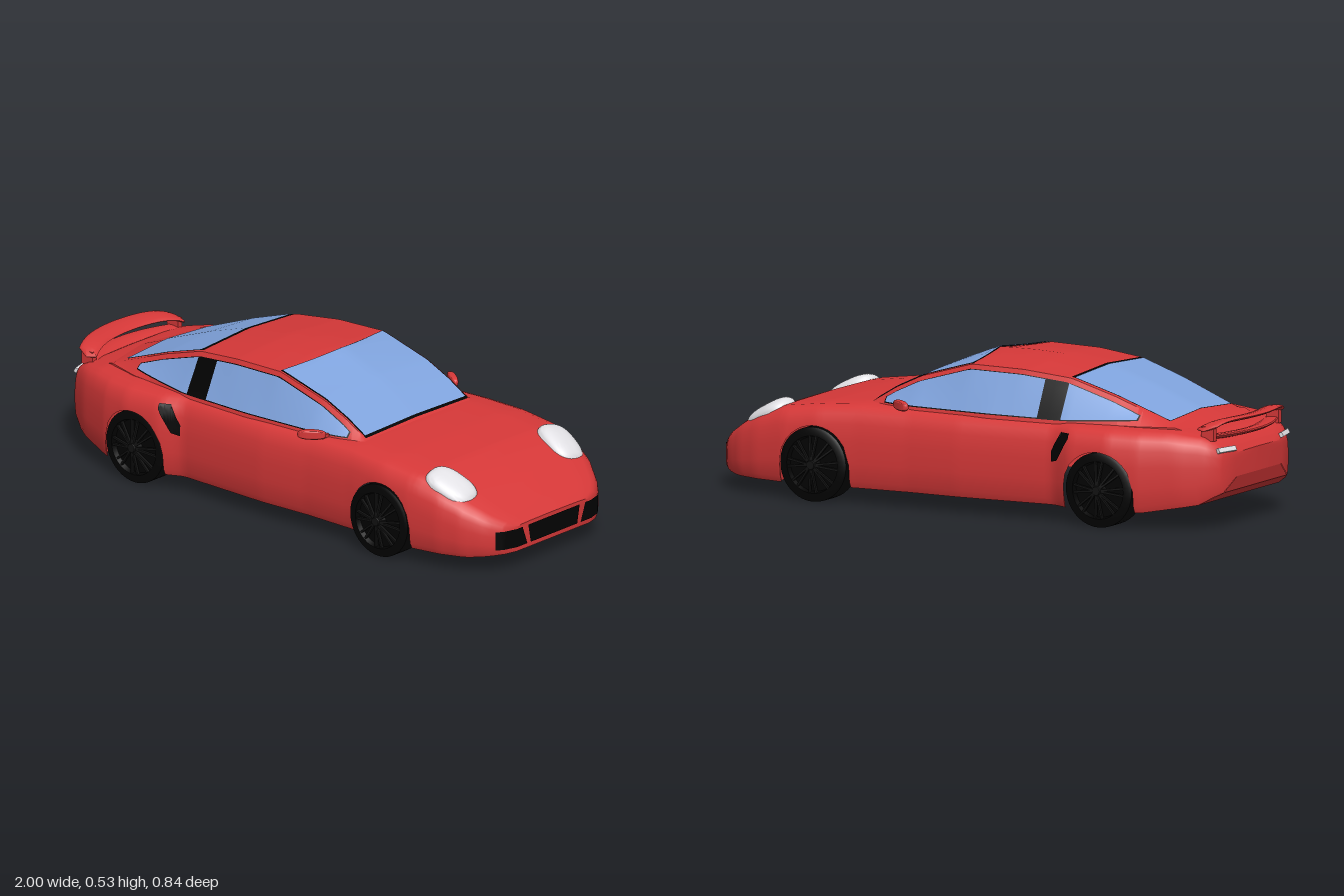
import * as THREE from 'three';
import { toCreasedNormals } from 'three/addons/utils/BufferGeometryUtils.js';

const paint = (name, color) => new THREE.MeshStandardMaterial({ name, color, side: THREE.DoubleSide });
const red = paint('red paint', 0xd63838);
const glass = paint('blue glass', 0x80a4de);
const black = paint('black trim', 0x020202);
const rim = paint('dark rim', 0x121212);
const lens = paint('pale lens', 0xe2e1e5);

// Linear interpolation in a table of [position, value]
function at(table, x) {
  if (x <= table[0][0]) return table[0][1];
  for (let i = 1; i < table.length; i++) {
    const [x0, a] = table[i - 1], [x1, b] = table[i];
    if (x <= x1) return a + (b - a) * (x - x0) / (x1 - x0);
  }
  return table[table.length - 1][1];
}
const lerp = THREE.MathUtils.lerp;
const range = (a, b, n) => Array.from({ length: n + 1 }, (_, i) => lerp(a, b, i / n));

// Body tables along the length of the car
const halfWidth = [[-0.98, 0.16], [-0.965, 0.23], [-0.94, 0.265], [-0.85, 0.325], [-0.7, 0.385], [-0.6, 0.407],
  [-0.45, 0.404], [-0.37, 0.367], [-0.2, 0.375], [0, 0.385], [0.2, 0.38], [0.4, 0.388], [0.55, 0.402],
  [0.68, 0.4], [0.8, 0.38], [0.88, 0.35], [0.95, 0.3], [0.985, 0.25], [1, 0.2]];
const topLine = [[-0.98, 0.265], [-0.95, 0.3], [-0.9, 0.325], [-0.8, 0.343], [-0.6, 0.35], [0.4, 0.352],
  [0.55, 0.342], [0.7, 0.322], [0.78, 0.295], [0.86, 0.257], [0.93, 0.212], [0.97, 0.185], [1, 0.16]];
const bottomLine = [[-0.98, 0.18], [-0.965, 0.13], [-0.9, 0.09], [-0.72, 0.06], [0.9, 0.055], [1, 0.065]];
// Cross-section: height fraction, width fraction
const section = [[0, 0.96], [0.08, 0.985], [0.3, 1], [0.55, 1], [0.75, 0.985], [0.87, 0.955], [0.94, 0.91],
  [0.975, 0.84], [0.99, 0.6], [1, 0]];
// Cabin tables
const roofCentre = [[-0.92, 0.31], [-0.75, 0.373], [-0.55, 0.447], [-0.38, 0.5], [-0.2, 0.523], [-0.1, 0.527],
  [0.04, 0.526], [0.2, 0.464], [0.3, 0.41], [0.41, 0.34]];
const roofEdge = [[-0.92, 0.3], [-0.75, 0.358], [-0.55, 0.433], [-0.38, 0.486], [-0.2, 0.504], [0, 0.507],
  [0.2, 0.449], [0.3, 0.402], [0.41, 0.335]];
const roofWidth = [[-0.92, 0.19], [-0.75, 0.222], [-0.38, 0.25], [-0.2, 0.266], [0, 0.272], [0.41, 0.272]];
const beltWidth = [[-0.92, 0.2], [-0.65, 0.29], [-0.4, 0.325], [-0.1, 0.34], [0.2, 0.333], [0.3, 0.315], [0.41, 0.28]];

const wheels = [-0.565, 0.555], axleY = 0.13, archR = 0.134;
const archY = x => Math.max(0, ...wheels.map(c => Math.abs(x - c) < archR
  ? axleY + Math.sqrt(archR ** 2 - (x - c) ** 2) : 0));

function bodyZ(x, y) {
  const b = at(bottomLine, x), h = at(topLine, x);
  return at(halfWidth, x) * at(section, (y - b) / (h - b));
}
function roofY(x, z) {
  return lerp(at(roofCentre, x), at(roofEdge, x), Math.min(1, Math.abs(z) / at(roofWidth, x)));
}
function sideZ(x, y) {
  return lerp(at(beltWidth, x), at(roofWidth, x), (y - 0.345) / (at(roofEdge, x) - 0.345));
}

// Surface through rows of points
function skin(rows, crease = 0.6) {
  const pos = rows.flat(2), index = [], n = rows[0].length;
  for (let i = 0; i < rows.length - 1; i++) for (let j = 0; j < n - 1; j++) {
    const a = i * n + j, b = a + n;
    index.push(a, b, a + 1, b, b + 1, a + 1);
  }
  const g = new THREE.BufferGeometry();
  g.setAttribute('position', new THREE.Float32BufferAttribute(pos, 3));
  g.setIndex(index);
  return toCreasedNormals(g, crease);
}
const mirrorRow = half => [...half, ...half.slice(0, -1).reverse().map(([x, y, z]) => [x, y, -z])];

// Rounded block: a sphere pushed towards its box
function pebble(rx, ry, rz) {
  const g = new THREE.SphereGeometry(1, 32, 20), p = g.attributes.position;
  const square = v => Math.sign(v) * Math.abs(v) ** 0.75;
  for (let i = 0; i < p.count; i++) {
    p.setXYZ(i, rx * square(p.getX(i)), ry * square(p.getY(i)), rz * square(p.getZ(i)));
  }
  return toCreasedNormals(g, 1);
}

export function createModel() {
  const car = new THREE.Group();
  car.name = 'car';
  const add = (name, geo, mat, parent = car) => {
    const m = new THREE.Mesh(geo, mat);
    m.name = name;
    parent.add(m);
    return m;
  };

  // Body shell with wheel arches and closed ends
  const stations = [...range(-0.98, 1, 99), -0.965, 0.985, 0.995,
    ...wheels.flatMap(c => [c - archR - 1e-4, c - archR + 1e-4, c + archR - 1e-4, c + archR + 1e-4])].sort((a, b) => a - b);
  const bodyRow = (x, s = 1) => mirrorRow(section.map(([k]) => {
    const y = Math.max(lerp(at(bottomLine, x), at(topLine, x), k), archY(x));
    return [x, y, s * bodyZ(x, y)];
  }));
  add('body', skin([bodyRow(-0.98, 0), ...stations.map(x => bodyRow(x)), bodyRow(1, 0)]), red);

  // Underside: low beneath both bumpers, with bulkheads up to a hollow middle
  const floorY = [[-0.98, 0.18], [-0.965, 0.13], [-0.9, 0.09], [-0.71, 0.062], [-0.7, 0.31], [0.69, 0.31],
    [0.7, 0.058], [0.9, 0.056], [1, 0.066]];
  add('underside', skin(stations.map(x => {
    const y = at(floorY, x), z = bodyZ(x, y) - 0.003;
    return [[x, y, z], [x, y, -z]];
  })), red);

  // Cabin
  add('cabin', skin(range(-0.92, 0.41, 80).map(x => {
    const zr = at(roofWidth, x), belt = at(beltWidth, x), ye = at(roofEdge, x);
    return mirrorRow([[x, 0.29, belt + 0.005], [x, Math.min(0.345, ye), belt], [x, ye, zr],
      [x, roofY(x, zr / 2), zr / 2], [x, roofY(x, 0), 0]]);
  })), red);

  // Windscreen and rear window, each over a black seal
  const topPane = (name, front, back, width, lift, mat) => add(name, skin(range(-1, 1, 16).map(s =>
    range(0, 1, 24).map(t => {
      const x = lerp(back(Math.abs(s)), front, t), z = s * width(x);
      return [x, roofY(x, z) + lift, z];
    }))), mat);
  topPane('windscreenSeal', 0.383, s => 0.036 - 0.04 * s, () => 0.268, 0.002, black);
  topPane('windscreen', 0.375, s => 0.04 - 0.04 * s, () => 0.263, 0.004, glass);
  const rearWidth = x => at(roofWidth, x) - 0.012;
  topPane('rearWindowSeal', -0.376, () => -0.75, rearWidth, 0.002, black);
  topPane('rearWindow', -0.388, () => -0.75, rearWidth, 0.004, glass);

  // Side windows, pillars and vents, mirrored
  const sidePane = (name, side, x0, x1, low, high, zOf, lift, mat) => add(name, skin(range(x0, x1, 24).map(x =>
    range(low(x), high(x), 6).map(y => [x, y, side * (zOf(x, y) + lift)]))), mat);
  const sill = x => at([[-0.66, 0.366], [-0.4, 0.352], [0.33, 0.354]], x);
  const glassTop = x => Math.max(sill(x), at(roofEdge, x) - 0.017);
  for (const side of [1, -1]) {
    sidePane('sideSeal', side, -0.655, 0.33, x => sill(x) - 0.004, x => glassTop(x) + 0.002, sideZ, 0.002, black);
    sidePane('frontSideWindow', side, -0.29, 0.325, sill, glassTop, sideZ, 0.004, glass);
    sidePane('rearSideWindow', side, -0.65, -0.38, sill, glassTop, sideZ, 0.004, glass);
    sidePane('sideVent', side, -0.45, -0.37, x => at([[-0.45, 0.3], [-0.4, 0.22], [-0.37, 0.212]], x),
      x => at([[-0.45, 0.318], [-0.41, 0.318], [-0.37, 0.25]], x), bodyZ, 0.007, black);

    // Headlamp
    const lamp = add('headlamp', pebble(0.095, 0.042, 0.068), lens);
    lamp.position.set(0.782, 0.268, side * 0.285);
    lamp.rotation.set(side * 0.2, side * 0.12, -0.5);

    // Door mirror on a short arm
    const mirror = add('doorMirror', pebble(0.05, 0.018, 0.014), red);
    mirror.position.set(0.225, 0.358, side * 0.371);
    mirror.rotation.y = side * 0.62;
    const arm = add('mirrorArm', new THREE.BoxGeometry(0.02, 0.012, 0.04), red);
    arm.position.set(0.25, 0.35, side * 0.335);

    // Tail lamp
    const tail = add('tailLamp', new THREE.BoxGeometry(0.012, 0.017, 0.085), lens);
    tail.position.set(-0.966, 0.278, side * 0.2);
    tail.rotation.set(0, side * 0.25, -0.5);

    // Wheels, the rear pair tucked under the fenders
    for (const c of wheels) {
      const wheel = new THREE.Group();
      wheel.name = c > 0 ? 'frontWheel' : 'rearWheel';
      wheel.position.set(c, axleY, side * (c > 0 ? 0.36 : 0.343));
      wheel.rotation.x = side * Math.PI / 2;
      car.add(wheel);
      const tyre = [[0, -0.045], [0.126, -0.045], [0.13, -0.041], [0.13, 0.04], [0.12, 0.046], [0.1, 0.048],
        [0.095, 0.03], [0, 0.03]].map(p => new THREE.Vector2(...p));
      add('tyre', toCreasedNormals(new THREE.LatheGeometry(tyre, 40), 0.5), black, wheel);
      add('hub', new THREE.CylinderGeometry(0.015, 0.024, 0.034, 16), rim, wheel).position.y = 0.045;
      for (let i = 0; i < 16; i++) {
        const spoke = new THREE.Group();
        spoke.name = 'spoke';
        spoke.rotation.y = (Math.floor(i / 2) + (i % 2 ? 0.17 : -0.17)) * Math.PI / 4;
        const bar = add('spokeBar', new THREE.BoxGeometry(0.085, 0.01, 0.007), rim, spoke);
        bar.position.set(0.058, 0.046, 0);
        bar.rotation.z = -0.16;
        wheel.add(spoke);
      }
    }
  }

  // Grille openings wrapped round the nose: z limits along the lower and upper edges
  const noseX = [[0, 1], [0.195, 1], [0.245, 0.985], [0.294, 0.95]];
  const openings = [[-0.122, 0.122, -0.135, 0.135], [0.14, 0.27, 0.165, 0.27], [-0.27, -0.14, -0.27, -0.165]];
  for (const [a, b, c, d] of openings) {
    add('grilleOpening', skin(range(0, 1, 16).map(t => range(0, 1, 4).map(s => {
      const z = lerp(lerp(a, b, t), lerp(c, d, t), s);
      return [at(noseX, Math.abs(z)) + 0.004, lerp(0.082, 0.148, s), z];
    }))), black);
  }

  // Rear wing, swept forward and down at the tips, over a deck lip
  const wing = (name, span, xc, y, drop, chord, thick) => add(name, skin(range(-1, 1, 28).map(s => {
    const taper = Math.abs(s) > 0.999 ? 0.02 : 1;
    return range(0, Math.PI * 2, 14).map(a => {
      const dx = Math.cos(a) * chord * taper;
      return [xc + 0.06 * s * s + dx, y - drop * s ** 6 - 0.18 * dx + Math.sin(a) * thick * taper, s * span];
    });
  })), red);
  wing('rearWing', 0.25, -0.96, 0.372, 0.03, 0.04, 0.009);
  wing('deckLip', 0.24, -0.945, 0.318, 0, 0.035, 0.01);
  for (const side of [1, -1]) {
    const strut = add('wingStrut', new THREE.BoxGeometry(0.05, 0.05, 0.02), red);
    strut.position.set(-0.91, 0.333, side * 0.225);
  }
  return car;
}
